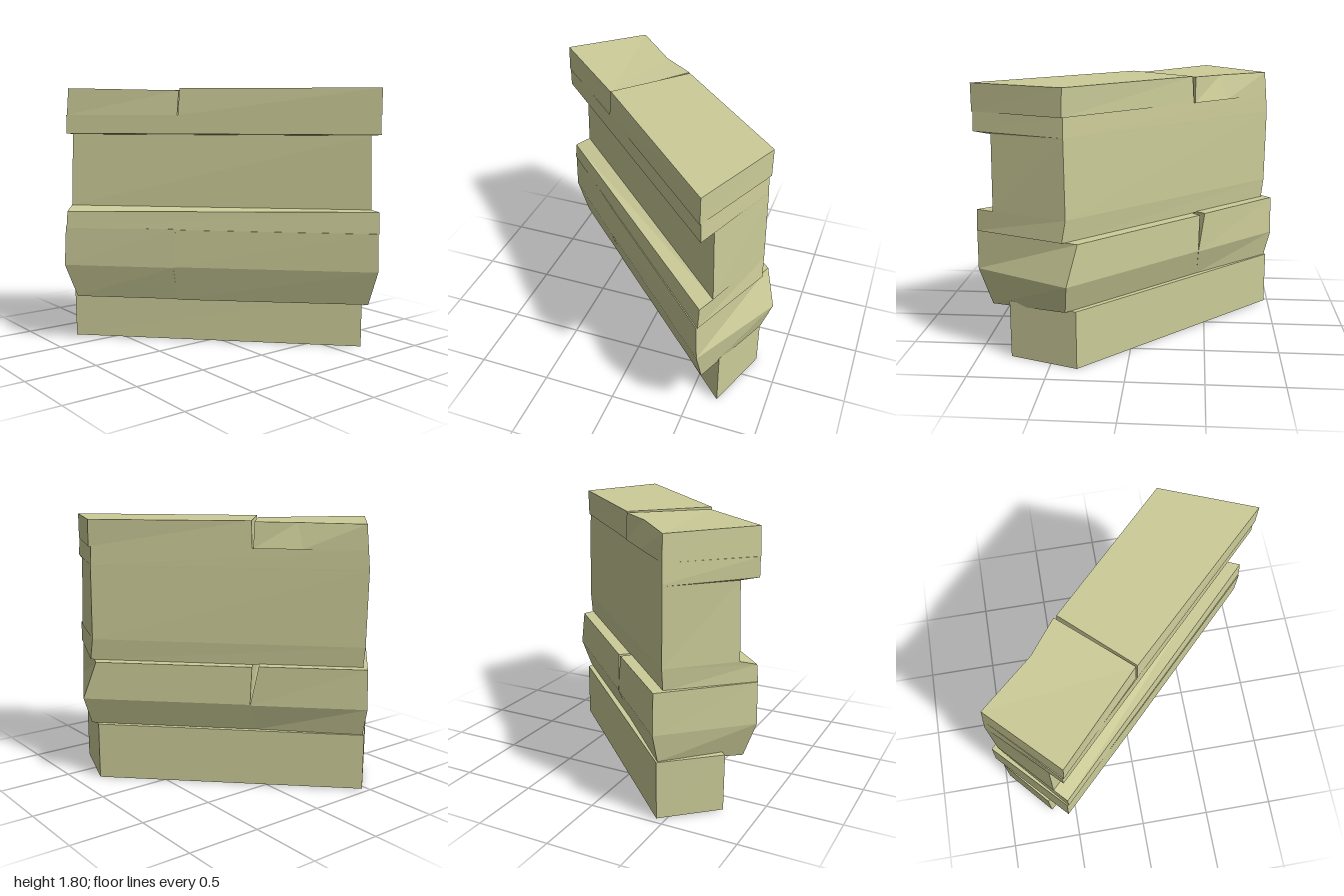
import * as THREE from 'three';

const material = new THREE.MeshStandardMaterial({ color: 0xcccc99, flatShading: true });

// Closed solid through stacked rings; corners run counter-clockwise seen from above
function stack(name, rings) {
  const pos = [];
  const tri = (a, b, c) => pos.push(...a, ...b, ...c);
  const n = rings[0].length;
  for (let r = 0; r + 1 < rings.length; r++) {
    for (let i = 0; i < n; i++) {
      const j = (i + 1) % n, lo = rings[r], hi = rings[r + 1];
      tri(lo[i], lo[j], hi[j]);
      tri(lo[i], hi[j], hi[i]);
    }
  }
  const bottom = rings[0], top = rings[rings.length - 1];
  for (let i = 1; i + 1 < n; i++) {
    tri(bottom[0], bottom[i + 1], bottom[i]);
    tri(top[0], top[i], top[i + 1]);
  }
  const geometry = new THREE.BufferGeometry();
  geometry.setAttribute('position', new THREE.Float32BufferAttribute(pos, 3));
  geometry.computeVertexNormals();
  const mesh = new THREE.Mesh(geometry, material);
  mesh.name = name;
  return mesh;
}

// Level ring from [x, z] corners
const level = (y, ...corners) => corners.map(([x, z]) => [x, y, z]);

export function createModel() {
  const group = new THREE.Group();
  group.name = 'layeredBlock';

  // Foot: front right, back right, back left, front left
  const foot = [[0.68, 0.78], [0.84, 0.32], [-0.45, -0.97], [-0.78, -0.68]];
  group.add(stack('foot', [
    [[0.68, 0, 0.78], [0.84, 0, 0.32], [-0.45, 0.01, -0.97], [-0.775, 0.01, -0.68]],
    level(0.39, ...foot),
  ]));

  // Bulging waist, in two sections meeting at a seam
  group.add(stack('waistRight', [
    [[0.6, 0.34, 0.91], [0.855, 0.39, 0.385], [0.03, 0.39, -0.44], [-0.33, 0.335, -0.02]],
    level(0.58, [0.59, 1], [0.925, 0.365], [0.11, -0.45], [-0.39, 0.015]),
    level(0.84, [0.58, 1], [0.855, 0.3], [0.1, -0.455], [-0.38, 0.03]),
  ]));
  group.add(stack('waistLeft', [
    [[-0.33, 0.34, -0.02], [0.03, 0.39, -0.44], [-0.45, 0.39, -0.955], [-0.84, 0.34, -0.53]],
    level(0.575, [-0.39, 0.015], [0.11, -0.45], [-0.44, -1], [-0.93, -0.54]),
    level(0.845, [-0.38, 0.03], [0.07, -0.49], [-0.44, -0.99], [-0.92, -0.53]),
  ]));

  // Body with a long recess between two front ledges
  group.add(stack('body', [
    level(0.84, [0.59, 1], [0.84, 0.4], [-0.47, -0.92], [-0.92, -0.52]),
    [[0.595, 0.985, 0.99], [0.835, 0.985, 0.375], [-0.47, 0.98, -0.935], [-0.91, 0.955, -0.52]],
    level(0.985, [0.645, 0.875], [0.835, 0.375], [-0.47, -0.935], [-0.83, -0.6]),
    level(1.485, [0.632, 0.87], [0.828, 0.38], [-0.475, -0.94], [-0.815, -0.59]),
    level(1.495, [0.59, 0.995], [0.828, 0.38], [-0.475, -0.94], [-0.905, -0.51]),
    level(1.62, [0.585, 0.99], [0.82, 0.38], [-0.47, -0.93], [-0.905, -0.51]),
  ]));

  // Cap, in two slightly uneven sections
  group.add(stack('capRight', [
    level(1.62, [0.583, 1], [0.837, 0.385], [0.06, -0.4], [-0.36, 0.04]),
    level(1.8, [0.583, 1], [0.837, 0.38], [0.06, -0.39], [-0.345, 0.04]),
  ]));
  group.add(stack('capLeft', [
    level(1.62, [-0.36, 0.03], [0.06, -0.41], [-0.17, -0.64], [-0.47, -0.93], [-0.905, -0.5]),
    [[-0.345, 1.785, 0.03], [0.05, 1.795, -0.41], [-0.17, 1.79, -0.58], [-0.465, 1.785, -0.915], [-0.895, 1.8, -0.49]],
  ]));

  return group;
}
